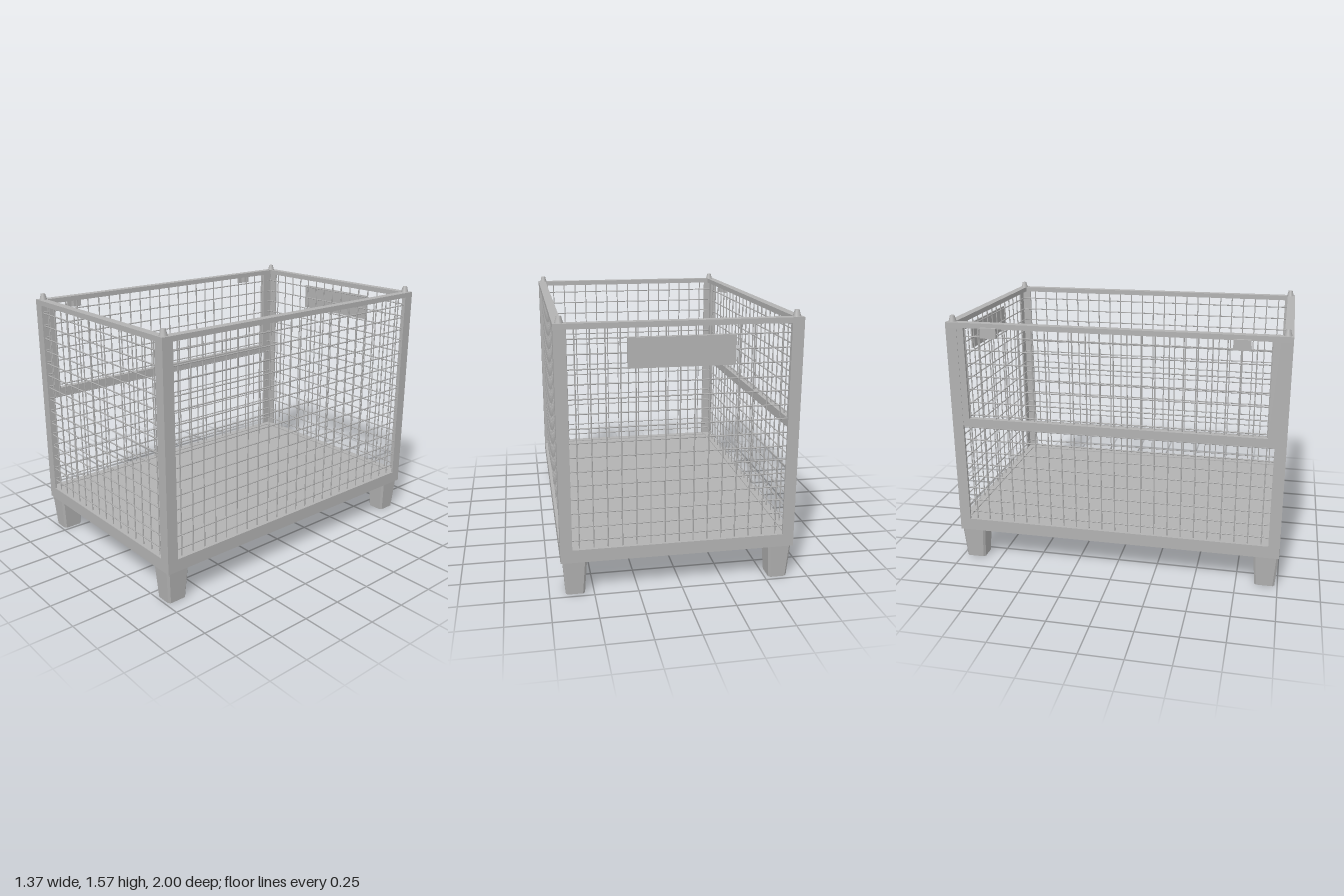
import * as THREE from 'three';
import { ConvexGeometry } from 'three/addons/geometries/ConvexGeometry.js';

const steel = new THREE.MeshStandardMaterial({ color: 0xb2b2b2 });
steel.name = 'greySteel';

const W = 0.67, D = 0.995; // half width and half depth of the frame
const FLOOR = 0.2, RAIL_TOP = 0.275, TOP = 1.53;

function add(parent, name, geometry, x = 0, y = 0, z = 0) {
  const mesh = new THREE.Mesh(geometry, steel);
  mesh.name = name;
  mesh.position.set(x, y, z);
  parent.add(mesh);
  return mesh;
}

// box given by its low and high corners
function block(parent, name, x0, x1, y0, y1, z0, z1) {
  return add(parent, name, new THREE.BoxGeometry(x1 - x0, y1 - y0, z1 - z0),
    (x0 + x1) / 2, (y0 + y1) / 2, (z0 + z1) / 2);
}

// tapered foot with chamfered corners
function footGeometry() {
  const points = [];
  for (const [y, a, b] of [[0, 0.054, 0.06], [FLOOR, 0.068, 0.074]]) {
    const c = 0.012;
    for (const sx of [-1, 1]) for (const sz of [-1, 1]) {
      points.push(new THREE.Vector3(sx * (a - c), y, sz * b));
      points.push(new THREE.Vector3(sx * a, y, sz * (b - c)));
    }
  }
  return new ConvexGeometry(points);
}

// wire grid in the XY plane, centred on x = 0
function wirePanel(name, halfWidth, count, pitch) {
  const panel = new THREE.Group();
  panel.name = name;
  const r = 0.004, y0 = RAIL_TOP - 0.01, y1 = 1.505;
  const upright = new THREE.CylinderGeometry(r, r, y1 - y0, 6);
  const cross = new THREE.CylinderGeometry(r, r, halfWidth * 2, 6).rotateZ(Math.PI / 2);
  for (let i = 0; i < count; i++) {
    add(panel, 'uprightWire', upright, (i - (count - 1) / 2) * pitch, (y0 + y1) / 2, 0);
  }
  for (let i = 0; i < 15; i++) add(panel, 'crossWire', cross, 0, 0.322 + i * 0.0803, 0);
  return panel;
}

export function createModel() {
  const model = new THREE.Group();
  model.name = 'meshCrate';
  const crate = new THREE.Group();
  crate.name = 'crate';
  crate.position.set(0.0145, 0, 0.005);
  model.add(crate);

  // floor and the rails around its edge and the rim
  block(crate, 'floor', -W + 0.045, W - 0.045, 0.25, 0.27, -D + 0.045, D - 0.045);
  for (const s of [-1, 1]) {
    for (const [name, y0, y1] of [['bottomRail', FLOOR, RAIL_TOP], ['topRail', 1.5, TOP]]) {
      const side = block(crate, name + 'Side', -0.025, 0.025, y0, y1, -D, D);
      side.position.x = s * (W - 0.025);
      const end = block(crate, name + 'End', -W + 0.05, W - 0.05, y0, y1, -0.025, 0.025);
      end.position.z = s * (D - 0.025);
    }
  }

  // corners: angle post, foot and stacking stud
  const foot = footGeometry();
  const stud = new THREE.CylinderGeometry(0.013, 0.023, 0.036, 12);
  const flangeX = new THREE.BoxGeometry(0.067, 1.225, 0.012);
  const flangeZ = new THREE.BoxGeometry(0.012, 1.225, 0.055);
  for (const sx of [-1, 1]) for (const sz of [-1, 1]) {
    const corner = new THREE.Group();
    corner.name = 'corner';
    crate.add(corner);
    add(corner, 'postFlangeEnd', flangeX, sx * (W - 0.0335), 0.8875, sz * (D - 0.006));
    add(corner, 'postFlangeSide', flangeZ, sx * (W - 0.006), 0.8875, sz * (D - 0.0395));
    add(corner, 'foot', foot, sx * 0.591, 0, sz * 0.918);
    add(corner, 'stackingStud', stud, sx * (W - 0.035), TOP + 0.018, sz * (D - 0.033));
  }

  // wire panels on all four sides
  for (const s of [-1, 1]) {
    const end = wirePanel(s > 0 ? 'frontMesh' : 'backMesh', W - 0.02, 15, 0.0803);
    end.position.z = s * (D - 0.022);
    crate.add(end);
    const side = wirePanel(s > 0 ? 'leftMesh' : 'rightMesh', D - 0.02, 23, 0.0805);
    side.rotation.y = Math.PI / 2;
    side.position.x = s * (W - 0.022);
    crate.add(side);
  }

  // half-height door on the right side
  const door = new THREE.Group();
  door.name = 'door';
  crate.add(door);
  block(door, 'doorBar', -W + 0.002, -W + 0.037, 0.9, 0.945, -D + 0.067, D - 0.067);
  block(door, 'lowerMeshEdge', -W + 0.012, -W + 0.032, 0.889, 0.9, -D + 0.067, D - 0.067);
  for (const s of [-1, 1]) {
    const stile = block(door, 'doorStile', -W + 0.002, -W + 0.037, 0.945, 1.5, -0.02, 0.02);
    stile.position.z = s * (D - 0.087);
    const latch = block(door, 'latchPlate', -W - 0.0295, -W - 0.01, 1.45, 1.51, -0.048, 0.048);
    latch.position.z = s * 0.724;
    const arm = block(door, 'latchArm', -W - 0.01, -W + 0.02, 1.455, 1.5, -0.022, 0.022);
    arm.position.z = s * 0.724;
  }

  // blank sign plate on the back
  block(crate, 'signPlate', -0.293, 0.29, 1.287, 1.45, -D - 0.01, -D - 0.002);

  return model;
}
